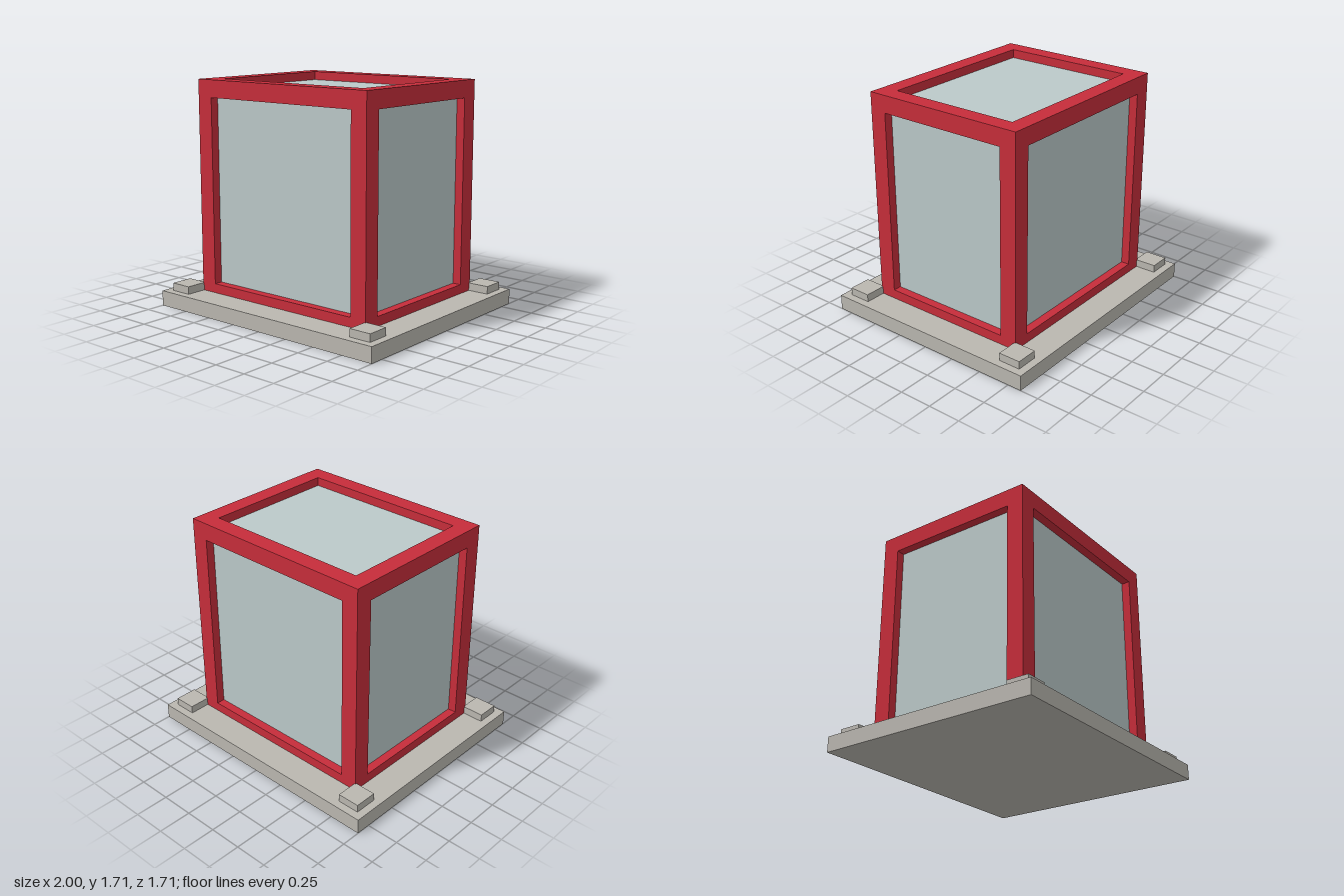
import * as THREE from 'three';

const red = new THREE.MeshStandardMaterial({ name: 'red frame', color: 0xc62d3a });
const glass = new THREE.MeshStandardMaterial({ name: 'pale glass', color: 0xbbc9c9 });
const stone = new THREE.MeshStandardMaterial({ name: 'warm grey stone', color: 0xbab7b0 });

// Box given by its lower and upper corners
function box(name, material, [x0, y0, z0], [x1, y1, z1]) {
  const mesh = new THREE.Mesh(new THREE.BoxGeometry(x1 - x0, y1 - y0, z1 - z0), material);
  mesh.position.set((x0 + x1) / 2, (y0 + y1) / 2, (z0 + z1) / 2);
  mesh.name = name;
  return mesh;
}

export function createModel() {
  const model = new THREE.Group();
  model.name = 'glazedBooth';

  const X = 0.78, Z = 0.64, bottom = 0.055, top = 1.71; // frame extents
  const bar = 0.13, recess = 0.065;
  const ix = X - bar, iz = Z - bar;

  // Base slab
  model.add(box('baseSlab', stone, [-1, 0, -0.857], [1, 0.115, 0.857]));

  // Corner pads and upright posts
  const frame = new THREE.Group();
  frame.name = 'frame';
  for (const sx of [-1, 1]) {
    for (const sz of [-1, 1]) {
      const pad = box('cornerPad', stone, [-0.085, 0.11, -0.085], [0.085, 0.173, 0.085]);
      pad.position.x = sx * 0.857;
      pad.position.z = sz * 0.714;
      model.add(pad);

      const post = box('cornerPost', red, [-bar / 2, bottom, -bar / 2], [bar / 2, top, bar / 2]);
      post.position.x = sx * (X - bar / 2);
      post.position.z = sz * (Z - bar / 2);
      frame.add(post);
    }
  }

  // Rails between the posts, at floor and roof
  for (const y of [bottom, top - bar]) {
    for (const s of [-1, 1]) {
      const long = box('longRail', red, [-ix, y, -bar / 2], [ix, y + bar, bar / 2]);
      long.position.z = s * (Z - bar / 2);
      const short = box('shortRail', red, [-bar / 2, y, -iz], [bar / 2, y + bar, iz]);
      short.position.x = s * (X - bar / 2);
      frame.add(long, short);
    }
  }
  model.add(frame);

  // Glazed body set back inside the frame
  model.add(box('glazing', glass,
    [-X + recess, bottom + recess, -Z + recess],
    [X - recess, top - recess, Z - recess]));

  return model;
}
